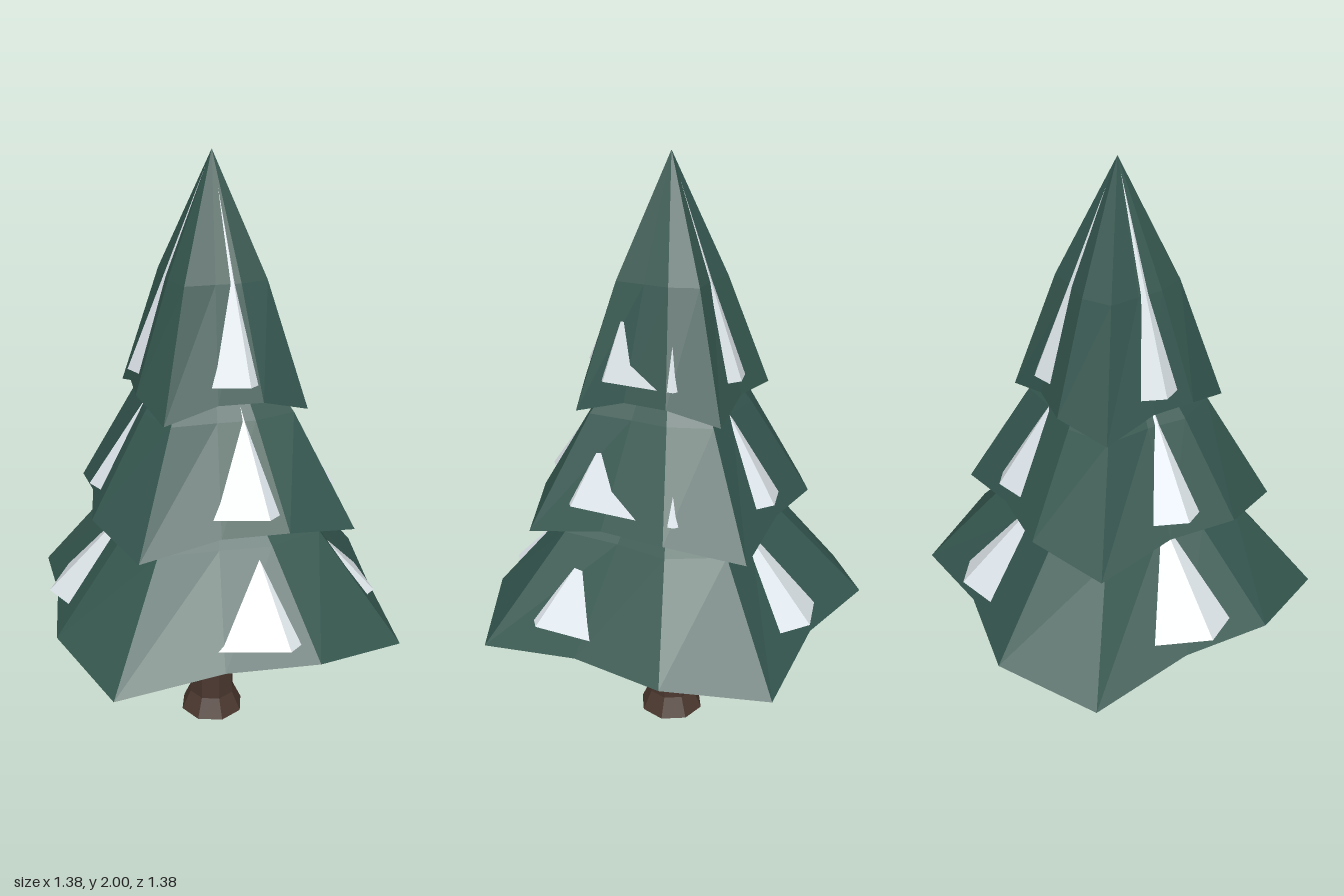
import * as THREE from 'three';

const foliageMat = new THREE.MeshStandardMaterial({ color: 0x34564e });
foliageMat.name = 'pine green';
const snowMat = new THREE.MeshStandardMaterial({ color: 0xe3ebf0 });
snowMat.name = 'snow white';
const barkMat = new THREE.MeshStandardMaterial({ color: 0x4b382f });
barkMat.name = 'bark brown';

// Split every face so it is shaded flat
function flat(geometry) {
  const g = geometry.index ? geometry.toNonIndexed() : geometry;
  g.computeVertexNormals();
  return g;
}

function addMesh(parent, name, geometry, material) {
  const mesh = new THREE.Mesh(flat(geometry), material);
  mesh.name = name;
  parent.add(mesh);
  return mesh;
}

// Skirt of branches: twelve corners, four long drooping tips with two raised corners between
function skirtGeometry({ y, r, top, bulge, dip }) {
  const sides = 12;
  const h = top - y;
  const rings = [
    { r: 0.05, y: y + 0.09, droop: 0, round: true }, // underside, around the trunk
    { r, y, droop: 0.053 },                          // rim
    { r: r * 0.567, y: y + h * 0.513, droop: 0 },    // middle
    { r: 0, y: top, droop: 0 },                      // tip
  ];
  const pos = [];
  const index = [];
  for (const ring of rings) {
    for (let i = 0; i < sides; i++) {
      const a = (i / sides) * Math.PI * 2;
      const q = Math.floor(i / 3);
      const shape = ring.round ? 1 : [1, bulge[q], dip[q]][i % 3];
      pos.push(ring.r * shape * Math.cos(a), ring.y + (i % 3 ? ring.droop : 0), ring.r * shape * Math.sin(a));
    }
  }
  for (let j = 0; j < rings.length - 1; j++) {
    for (let i = 0; i < sides; i++) {
      const n = (i + 1) % sides;
      const l0 = j * sides + i, l1 = j * sides + n;
      const u0 = l0 + sides, u1 = l1 + sides;
      index.push(l1, l0, u0);
      if (j < rings.length - 2) index.push(l1, u0, u1);
    }
  }
  const g = new THREE.BufferGeometry();
  g.setAttribute('position', new THREE.Float32BufferAttribute(pos, 3));
  g.setIndex(index);
  return g;
}

export function createModel() {
  const tree = new THREE.Group();
  tree.name = 'snowyPine';

  // Trunk with a flared foot
  const trunk = new THREE.Group();
  trunk.name = 'trunk';
  tree.add(trunk);
  addMesh(trunk, 'trunkFoot', new THREE.CylinderGeometry(0.082, 0.114, 0.07, 8, 1), barkMat).position.y = 0.035;
  addMesh(trunk, 'trunkStem', new THREE.CylinderGeometry(0.068, 0.082, 0.6, 8, 1), barkMat).position.y = 0.37;

  // Three tiers, each with a seven-sided snow cone whose corners poke through the branches
  const tiers = [
    {
      name: 'lower', y: 0.447, r: 0.69, top: 1.137, snowR: 0.567, snowH: 0.57,
      bulge: [0.877, 0.885, 0.957, 0.92], dip: [0.8, 0.783, 0.793, 0.803],
    },
    {
      name: 'middle', y: 0.832, r: 0.513, top: 1.552, snowR: 0.414, snowH: 0.605,
      bulge: [0.84, 0.9, 0.9, 0.85], dip: [0.778, 0.783, 0.79, 0.782],
    },
    {
      name: 'upper', y: 1.219, r: 0.337, top: 2, snowR: 0.276, snowH: 0.674,
      bulge: [0.84, 0.855, 0.935, 0.85], dip: [0.783, 0.783, 0.783, 0.79],
    },
  ];
  for (const t of tiers) {
    const tier = new THREE.Group();
    tier.name = t.name + 'Tier';
    tree.add(tier);
    addMesh(tier, t.name + 'Branches', skirtGeometry(t), foliageMat);
    const snow = addMesh(tier, t.name + 'Snow', new THREE.ConeGeometry(t.snowR, t.snowH, 7, 1), snowMat);
    snow.position.y = t.y + 0.105 + t.snowH / 2;
  }
  return tree;
}
